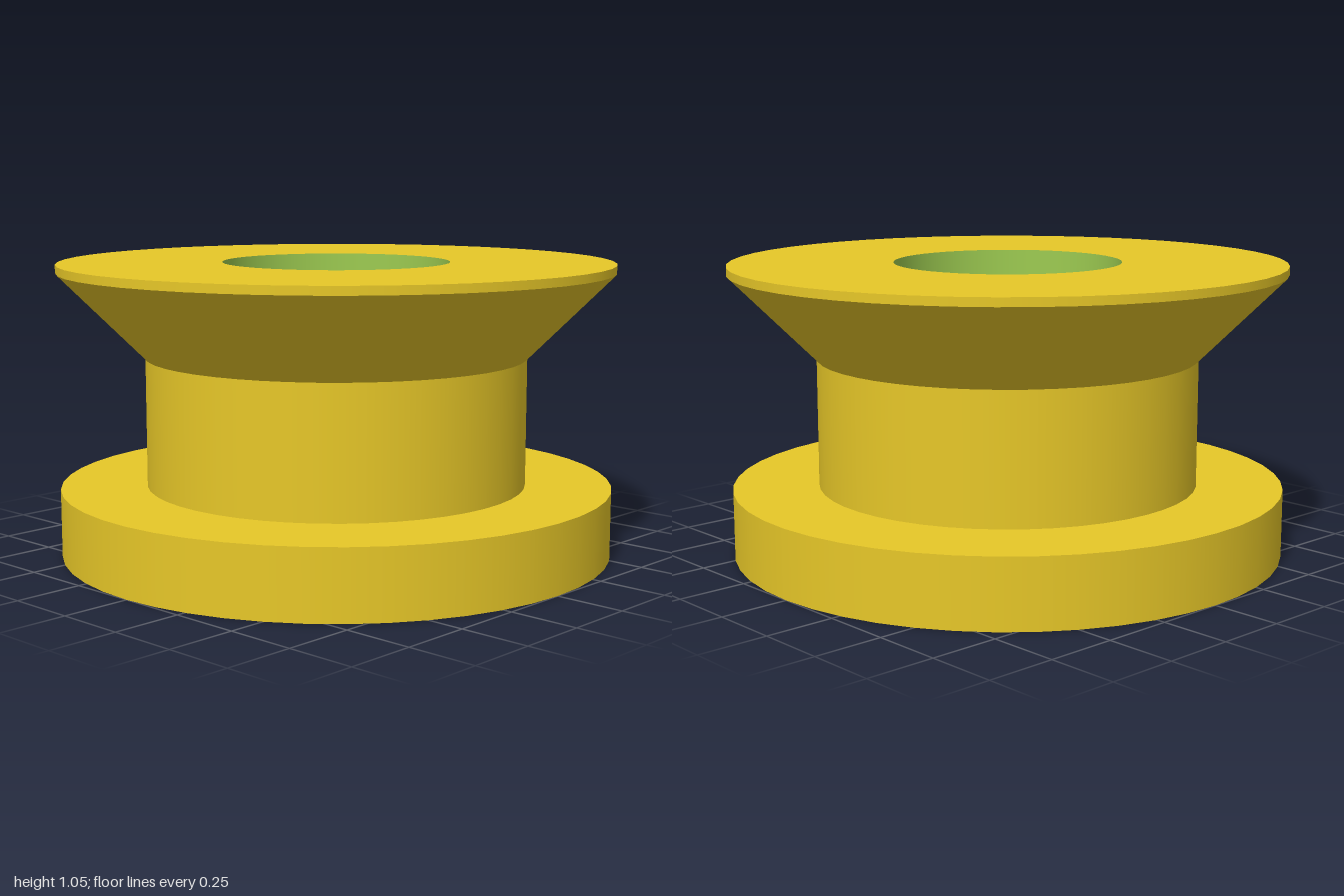
import * as THREE from 'three';
import { mergeGeometries } from 'three/addons/utils/BufferGeometryUtils.js';

const SEGMENTS = 48;
const BORE = 0.41, HUB = 0.69, RIM = 1;
const BASE_TOP = 0.245, HUB_TOP = 0.71, CONE_TOP = 1.02, TOP = 1.05;

// Revolve each profile segment on its own, so edges between them stay sharp
function revolve(profile) {
  const bands = [];
  for (let i = 0; i < profile.length - 1; i++) {
    const ends = [profile[i], profile[i + 1]].map(([r, y]) => new THREE.Vector2(r, y));
    bands.push(new THREE.LatheGeometry(ends, SEGMENTS));
  }
  return mergeGeometries(bands);
}

export function createModel() {
  const gold = new THREE.MeshStandardMaterial({ color: 0xf9d72c });
  gold.name = 'gold';
  const green = new THREE.MeshStandardMaterial({ color: 0x9dcb51 });
  green.name = 'green';

  const spool = new THREE.Group();
  spool.name = 'spool';
  const add = (name, profile, material) => {
    const mesh = new THREE.Mesh(revolve(profile), material);
    mesh.name = name;
    spool.add(mesh);
  };

  // Straight lower flange
  add('baseFlange', [[BORE, 0], [RIM, 0], [RIM, BASE_TOP], [HUB, BASE_TOP]], gold);
  // Cylindrical hub between the flanges
  add('hub', [[HUB, BASE_TOP], [HUB, HUB_TOP]], gold);
  // Upper flange with a tapered underside and thin rim
  add('taperedFlange', [[HUB, HUB_TOP], [RIM, CONE_TOP], [RIM, TOP], [BORE, TOP]], gold);
  // Inner wall of the through hole, facing the axis
  add('bore', [[BORE, TOP], [BORE, 0]], green);

  return spool;
}
